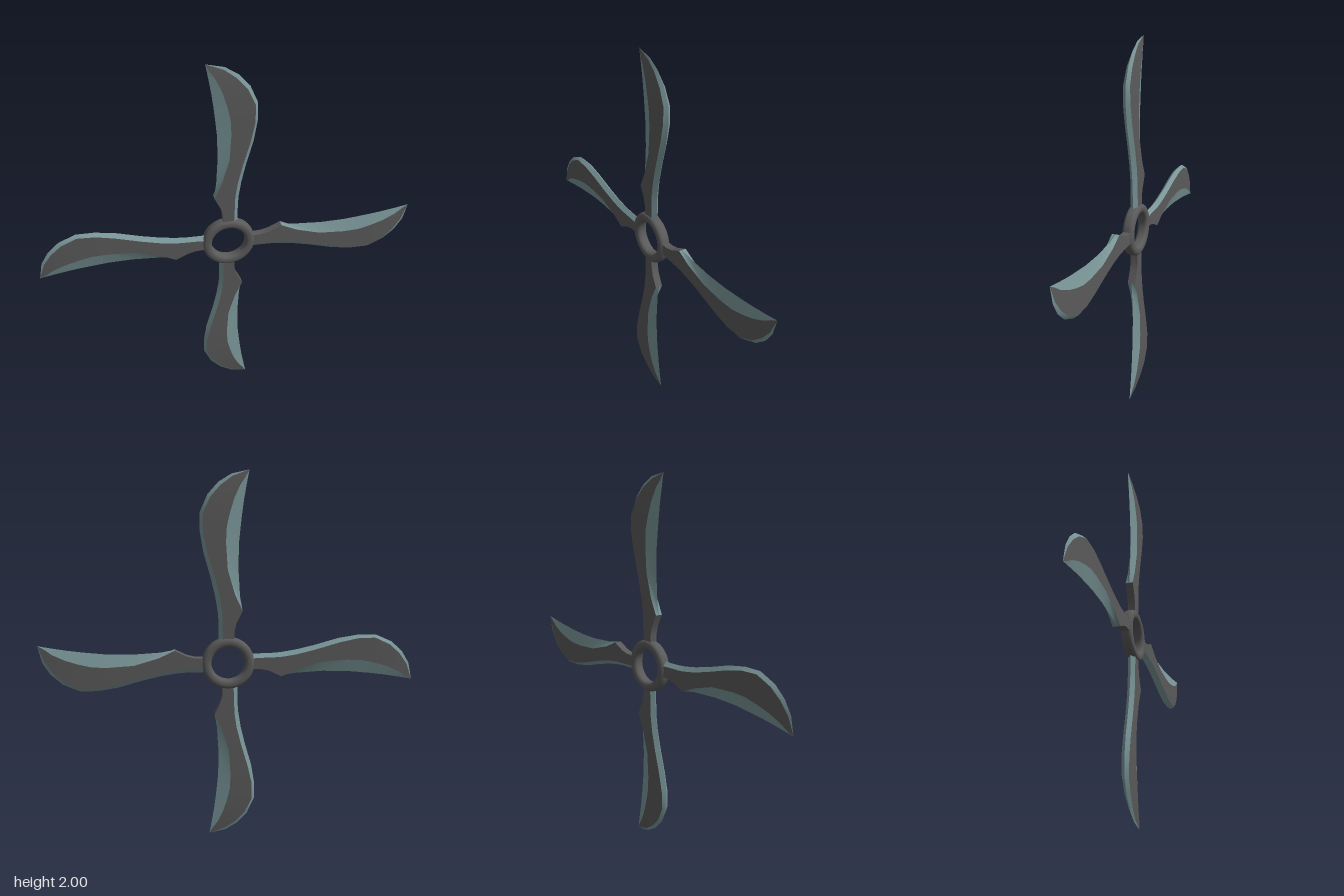
import * as THREE from 'three';

const darkSteel = new THREE.MeshStandardMaterial({ color: 0x5a5a5a });
darkSteel.name = 'darkSteel';
const edgeSteel = new THREE.MeshStandardMaterial({ color: 0x7a9698 });
edgeSteel.name = 'edgeSteel';

// Blade stations from root to tip:
// hollow edge x,y | face left x,y | face right x,y | spine edge x,y | half thickness
const STATIONS = [
  [-0.030, 0.12, -0.030, 0.12, 0.027, 0.12, 0.050, 0.12, 0.02],
  [-0.032, 0.176, -0.032, 0.176, 0.030, 0.18, 0.050, 0.18, 0.02],
  [-0.043, 0.22, -0.043, 0.22, 0.031, 0.23, 0.051, 0.23, 0.02],
  [-0.075, 0.285, -0.075, 0.285, 0.033, 0.28, 0.055, 0.28, 0.02],
  [-0.062, 0.36, -0.035, 0.37, 0.045, 0.36, 0.068, 0.36, 0.02],
  [-0.053, 0.51, 0.003, 0.50, 0.068, 0.455, 0.090, 0.455, 0.02],
  [-0.056, 0.64, 0.012, 0.64, 0.107, 0.59, 0.128, 0.59, 0.02],
  [-0.063, 0.71, 0.008, 0.72, 0.129, 0.69, 0.145, 0.695, 0.02],
  [-0.070, 0.775, -0.008, 0.79, 0.131, 0.785, 0.145, 0.79, 0.018],
  [-0.080, 0.85, -0.030, 0.86, 0.092, 0.868, 0.105, 0.88, 0.015],
  [-0.092, 0.92, -0.060, 0.925, 0.040, 0.925, 0.050, 0.94, 0.01],
  [-0.100, 0.965, -0.088, 0.965, -0.020, 0.968, -0.016, 0.98, 0.005],
  [-0.107, 1.0, -0.107, 1.0, -0.107, 1.0, -0.107, 1.0, 0],
];
const NOTCH = 3; // the sharpened hollow edge starts here

// Strip between two neighbouring columns of the stations, on the front (1) or back (-1)
function strip(column, from, to, side) {
  const positions = [], index = [];
  for (let i = from; i <= to; i++) {
    const s = STATIONS[i];
    for (const c of [column, column + 1]) {
      const z = c === 0 || c === 3 ? 0 : s[8] * side;
      positions.push(s[c * 2], s[c * 2 + 1], z);
    }
  }
  for (let i = 0; i < to - from; i++) {
    const a = i * 2, b = a + 1, c = a + 2, d = a + 3;
    if (side > 0) index.push(a, b, d, a, d, c);
    else index.push(a, d, b, a, c, d);
  }
  const geometry = new THREE.BufferGeometry();
  geometry.setAttribute('position', new THREE.Float32BufferAttribute(positions, 3));
  geometry.setIndex(index);
  geometry.computeVertexNormals();
  return geometry;
}

function createBlade() {
  const blade = new THREE.Group();
  const end = STATIONS.length - 1;
  const add = (name, geometry, material) => {
    const mesh = new THREE.Mesh(geometry, material);
    mesh.name = name;
    blade.add(mesh);
  };
  for (const side of [1, -1]) {
    const label = side > 0 ? 'front' : 'back';
    add(label + 'NeckWall', strip(0, 0, NOTCH, side), darkSteel);
    add(label + 'CuttingBevel', strip(0, NOTCH, end, side), edgeSteel);
    add(label + 'Face', strip(1, 0, end, side), darkSteel);
    add(label + 'SpineBevel', strip(2, 0, end, side), edgeSteel);
  }
  return blade;
}

// Ring with a rounded rectangular section
function createRing() {
  const inner = 0.09, outer = 0.14, half = 0.03, r = 0.02;
  const profile = [];
  const corners = [[outer - r, -half + r], [outer - r, half - r], [inner + r, half - r], [inner + r, -half + r]];
  corners.forEach(([x, y], k) => {
    for (let i = 0; i <= 4; i++) {
      const a = (k - 1 + i / 4) * Math.PI / 2;
      profile.push(new THREE.Vector2(x + r * Math.cos(a), y + r * Math.sin(a)));
    }
  });
  profile.push(profile[0].clone());
  const ring = new THREE.Mesh(new THREE.LatheGeometry(profile, 48), darkSteel);
  ring.rotation.x = Math.PI / 2;
  ring.name = 'ring';
  return ring;
}

export function createModel() {
  const model = new THREE.Group();
  model.name = 'fourBladedThrowingStar';
  const star = new THREE.Group();
  star.name = 'star';
  star.position.y = 1;
  star.add(createRing());
  ['top', 'left', 'bottom', 'right'].forEach((place, i) => {
    const blade = createBlade();
    blade.name = place + 'Blade';
    blade.rotation.z = -i * Math.PI / 2;
    star.add(blade);
  });
  model.add(star);
  return model;
}
